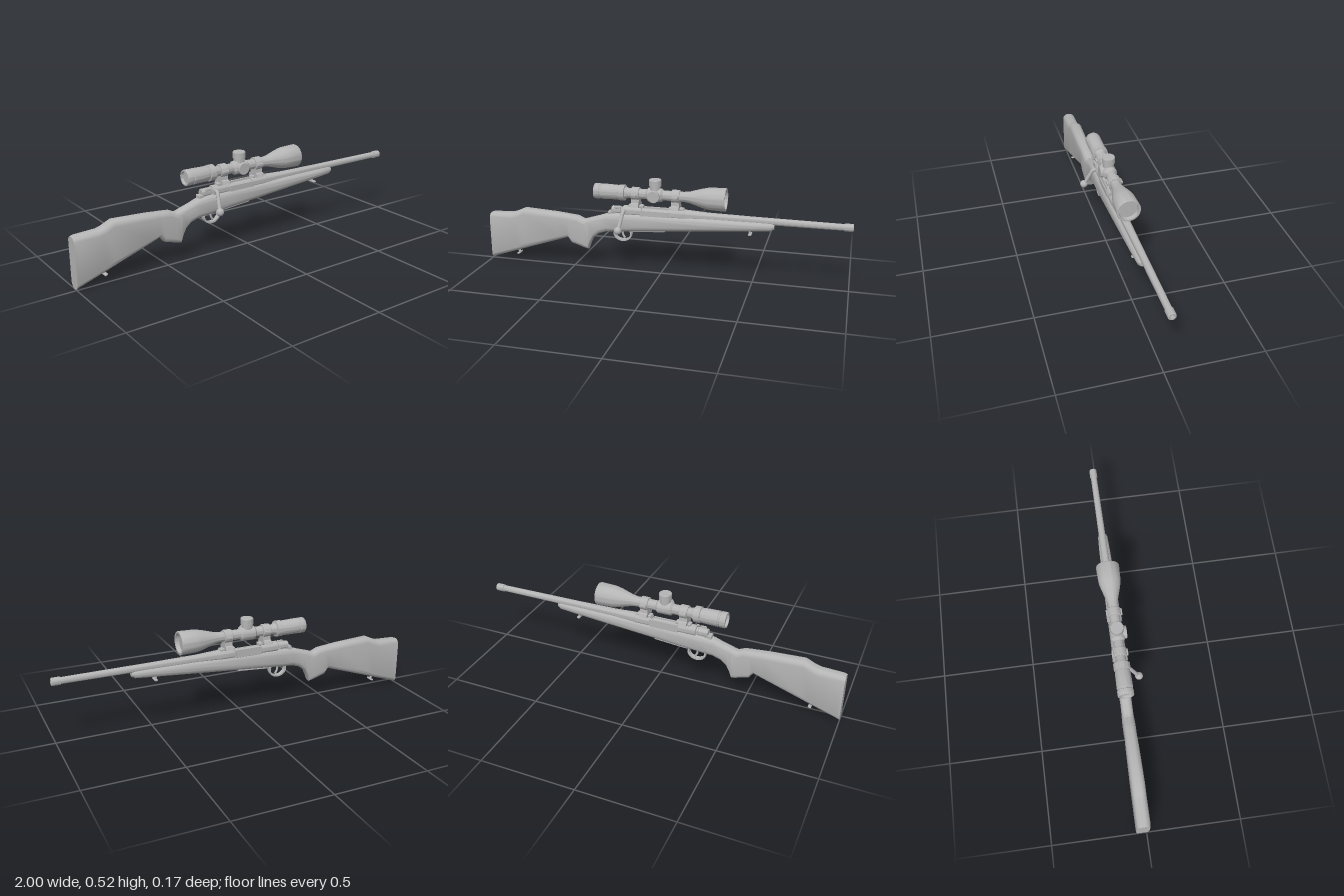
import * as THREE from 'three';
import { toCreasedNormals } from 'three/addons/utils/BufferGeometryUtils.js';
import { RoundedBoxGeometry } from 'three/addons/geometries/RoundedBoxGeometry.js';

const grey = new THREE.MeshStandardMaterial({ color: 0xb4b4b4 });
grey.name = 'plain grey';

const BORE_Y = 0.338;
const SCOPE_Y = 0.437;

// Loft upright rounded sections [x, top, bottom, halfWidth] along x
function loft(sections, n = 28) {
  const pos = [], index = [];
  for (const [x, top, bottom, w] of sections) {
    const cy = (top + bottom) / 2, h = (top - bottom) / 2, r = Math.min(w, h);
    for (let j = 0; j < n; j++) {
      const t = ((j + 0.5) / n) * Math.PI * 2, c = Math.cos(t), s = Math.sin(t);
      pos.push(x, cy + Math.sign(s) * (h - r) + r * s, w * Math.sign(c) * Math.abs(c) ** 0.75);
    }
  }
  const last = sections.length - 1;
  for (let i = 0; i < last; i++) {
    for (let j = 0; j < n; j++) {
      const k = (j + 1) % n, a = i * n + j, d = i * n + k;
      index.push(a, a + n, d, a + n, d + n, d);
    }
  }
  // end caps
  [0, last].forEach((i, end) => {
    const [x, top, bottom] = sections[i], c = pos.length / 3;
    pos.push(x, (top + bottom) / 2, 0);
    for (let j = 0; j < n; j++) {
      const a = i * n + j, b = i * n + ((j + 1) % n);
      if (end) index.push(c, b, a); else index.push(c, a, b);
    }
  });
  const g = new THREE.BufferGeometry();
  g.setAttribute('position', new THREE.Float32BufferAttribute(pos, 3));
  g.setIndex(index);
  return toCreasedNormals(g, 0.7);
}

// Turned part along x from [x, radius] pairs
function turned(profile, sides = 40) {
  const pts = profile.map(([x, r]) => new THREE.Vector2(r, x));
  return toCreasedNormals(new THREE.LatheGeometry(pts, sides).rotateZ(-Math.PI / 2), 0.5);
}

export function createModel() {
  const model = new THREE.Group();
  model.name = 'scopedRifle';
  const body = new THREE.Group();
  body.name = 'body';
  body.position.z = -0.024;
  model.add(body);

  const add = (name, geometry, x = 0, y = 0, z = 0) => {
    const mesh = new THREE.Mesh(geometry, grey);
    mesh.name = name;
    mesh.position.set(x, y, z);
    body.add(mesh);
    return mesh;
  };
  const box = (name, w, h, d, x, y, z = 0, r = 0.004) =>
    add(name, new RoundedBoxGeometry(w, h, d, 2, r), x, y, z);

  // Stock: butt, comb, pistol grip and fore-end
  add('stock', loft([
    [-1, 0.268, 0, 0.034], [-0.985, 0.273, 0.008, 0.036], [-0.87, 0.278, 0.046, 0.036],
    [-0.84, 0.287, 0.056, 0.036], [-0.79, 0.31, 0.074, 0.036], [-0.6, 0.3, 0.138, 0.034],
    [-0.535, 0.294, 0.16, 0.032], [-0.512, 0.292, 0.128, 0.032], [-0.475, 0.288, 0.117, 0.032],
    [-0.44, 0.272, 0.105, 0.031], [-0.418, 0.278, 0.1, 0.03], [-0.408, 0.282, 0.13, 0.03],
    [-0.388, 0.288, 0.17, 0.03], [-0.355, 0.298, 0.197, 0.03], [-0.31, 0.314, 0.212, 0.032],
    [-0.25, 0.325, 0.217, 0.036], [-0.1, 0.33, 0.23, 0.037], [0.22, 0.333, 0.257, 0.035],
    [0.5, 0.333, 0.281, 0.03], [0.585, 0.333, 0.288, 0.026], [0.602, 0.327, 0.298, 0.018],
  ]), 0, 0, 0.003);

  // Barrel with a collar and recessed muzzle
  add('barrel', turned([
    [0.08, 0], [0.08, 0.029], [0.14, 0.028], [0.25, 0.022], [0.5, 0.019], [0.955, 0.017],
    [0.955, 0.0205], [0.996, 0.0205], [1, 0.018], [1, 0.011], [0.96, 0.01], [0.96, 0],
  ]), 0, BORE_Y);

  // Receiver with an open port between two bridges
  const bridge = (name, a, b, r) =>
    add(name, turned([[a, 0], [a, r - 0.003], [a + 0.003, r], [b - 0.003, r], [b, r - 0.003], [b, 0]]), 0, BORE_Y);
  bridge('rearBridge', -0.215, -0.11, 0.029);
  bridge('frontRing', 0.035, 0.13, 0.03);
  bridge('boltBody', -0.25, 0.04, 0.019);
  bridge('boltShroud', -0.28, -0.225, 0.022);
  box('receiverWallRight', 0.16, 0.035, 0.006, -0.035, 0.334, 0.027, 0.002);
  box('receiverWallLeft', 0.16, 0.044, 0.008, -0.035, 0.339, -0.025, 0.002);
  box('receiverTang', 0.1, 0.03, 0.036, -0.25, 0.317);
  box('safetyLever', 0.035, 0.012, 0.008, -0.245, 0.355, 0.02, 0.002);

  // Bolt handle and knob
  const handlePath = new THREE.CatmullRomCurve3([
    new THREE.Vector3(-0.205, 0.34, 0.015), new THREE.Vector3(-0.205, 0.342, 0.04),
    new THREE.Vector3(-0.21, 0.315, 0.057), new THREE.Vector3(-0.22, 0.255, 0.086),
  ]);
  add('boltHandle', new THREE.TubeGeometry(handlePath, 20, 0.01, 12));
  add('boltKnob', new THREE.SphereGeometry(0.021, 24, 16), -0.222, 0.248, 0.091);

  // Trigger guard, trigger and floor plate
  const guard = new THREE.Shape().absellipse(-0.22, 0.207, 0.052, 0.044, 0, Math.PI * 2);
  guard.holes.push(new THREE.Path().absellipse(-0.22, 0.207, 0.043, 0.035, 0, Math.PI * 2, true));
  const guardGeo = new THREE.ExtrudeGeometry(guard, { depth: 0.024, bevelEnabled: false, curveSegments: 24 });
  add('triggerGuard', toCreasedNormals(guardGeo, 0.6), 0, 0, -0.012);
  const triggerPath = new THREE.QuadraticBezierCurve3(
    new THREE.Vector3(-0.222, 0.225, 0), new THREE.Vector3(-0.225, 0.195, 0), new THREE.Vector3(-0.208, 0.18, 0));
  add('trigger', new THREE.TubeGeometry(triggerPath, 10, 0.006, 10));
  box('floorPlate', 0.19, 0.008, 0.03, -0.075, 0.231, 0, 0.003).rotation.z = 0.08;

  // Sling studs
  for (const [name, x, y, tilt] of [['frontSlingStud', 0.475, 0.274, 0.1], ['rearSlingStud', -0.845, 0.05, 0.35]]) {
    box(name + 'Post', 0.012, 0.028, 0.012, x, y).rotation.z = tilt;
    box(name + 'Bar', 0.018, 0.01, 0.044, x + 0.003, y - 0.012, 0.003).rotation.z = tilt;
  }

  // Scope body: eyepiece, zoom ring, tube and objective bell
  add('scopeBody', turned([
    [-0.362, 0], [-0.362, 0.032], [-0.375, 0.034], [-0.375, 0.04], [-0.37, 0.042], [-0.345, 0.042],
    [-0.343, 0.039], [-0.335, 0.039], [-0.333, 0.042], [-0.25, 0.04], [-0.238, 0.037],
    [-0.236, 0.043], [-0.204, 0.043], [-0.202, 0.034], [-0.185, 0.027], [0.12, 0.027],
    [0.15, 0.031], [0.215, 0.05], [0.245, 0.057], [0.26, 0.059], [0.342, 0.062],
    [0.346, 0.06], [0.346, 0.051], [0.325, 0.048], [0.325, 0],
  ], 48), 0, SCOPE_Y);
  add('turretSaddle', turned([
    [-0.085, 0.026], [-0.073, 0.037], [-0.002, 0.037], [0.01, 0.026],
  ]), 0, SCOPE_Y);

  // Adjustment turrets: top and bolt side
  const turretProfile = (r, h) => [
    [0, r * 0.85], [h * 0.4, r * 0.85], [h * 0.42, r], [h * 0.93, r], [h, r * 0.92], [h, 0],
  ];
  add('topTurret', turned(turretProfile(0.034, 0.06)), -0.037, 0.462).rotation.z = Math.PI / 2;
  add('sideTurret', turned(turretProfile(0.033, 0.025)), -0.037, SCOPE_Y, 0.025).rotation.y = -Math.PI / 2;

  // Scope mounts: ring, clamp lugs, flared foot and base
  const foot = new THREE.Shape([
    [-0.04, 0.368], [0.04, 0.368], [0.032, 0.386], [0.022, 0.389], [0.019, 0.42], [-0.019, 0.42],
    [-0.022, 0.389], [-0.032, 0.386],
  ].map(([x, y]) => new THREE.Vector2(x, y)));
  const footGeo = new THREE.ExtrudeGeometry(foot, { depth: 0.044, bevelEnabled: false })
    .translate(0, 0, -0.022).rotateY(Math.PI / 2);
  for (const [name, x] of [['rearMount', -0.145], ['frontMount', 0.077]]) {
    add(name + 'Ring', turned([
      [-0.022, 0.026], [-0.022, 0.033], [-0.019, 0.035], [0.019, 0.035], [0.022, 0.033], [0.022, 0.026],
    ]), x, SCOPE_Y);
    add(name + 'Foot', footGeo, x);
    box(name + 'Base', 0.084, 0.014, 0.034, x + 0.003, 0.368);
    for (const side of [-1, 1]) {
      box(name + 'Lug', 0.036, 0.014, 0.012, x, SCOPE_Y, side * 0.036, 0.003);
    }
  }

  return model;
}
